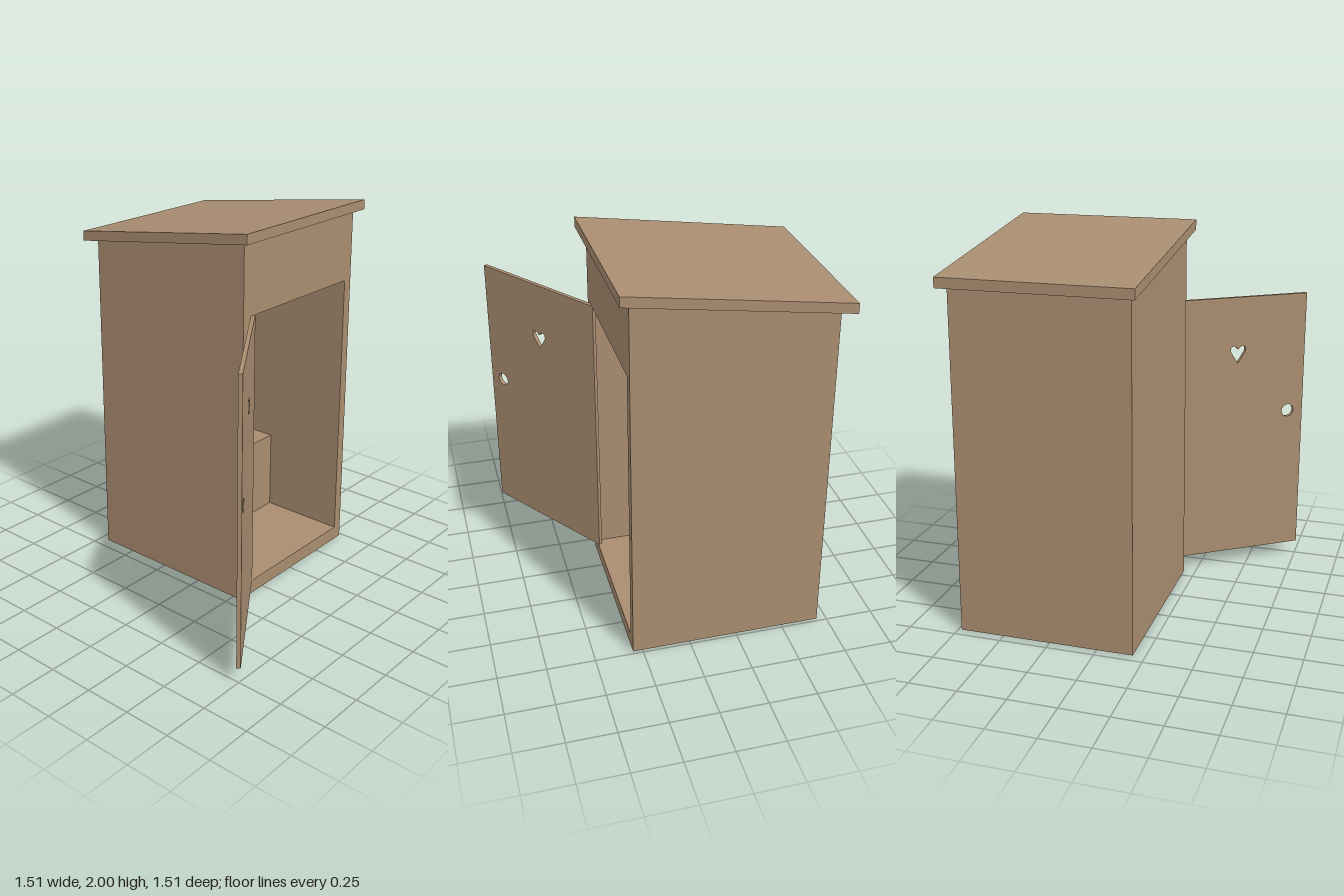
import * as THREE from 'three';

const LEFT = -0.187, RIGHT = 0.733, FRONT = 0.3, BACK = -0.7, WALL = 0.053;
const MID = (LEFT + RIGHT) / 2, FRAME = 0.02;
const SLOPE = 0.145, ROOF = 0.052;
const DOOR_LOW = 0.075, DOOR_HIGH = 1.57;

const roofTop = (z) => 2 - (0.348 - z) * SLOPE;

// Lets the walls end under the sloping roof and lean in slightly with height.
function lean(geometry) {
  const p = geometry.attributes.position;
  for (let i = 0; i < p.count; i++) {
    const x = p.getX(i), z = p.getZ(i);
    const y = p.getY(i) > 1.7 ? roofTop(z) - ROOF : p.getY(i);
    p.setXYZ(i, MID + (x - MID) * (1 - 0.009 * y), y, FRONT - (FRONT - z) * (1 - 0.007 * y));
  }
  geometry.computeVertexNormals();
  return geometry;
}

const polygon = (points) => new THREE.Shape(points.map(([x, y]) => new THREE.Vector2(x, y)));
const rectangle = (x0, y0, x1, y1) => polygon([[x0, y0], [x1, y0], [x1, y1], [x0, y1]]);

function extrude(shape, depth, curveSegments = 6) {
  return new THREE.ExtrudeGeometry(shape, { depth, curveSegments, bevelEnabled: false });
}

// Raises a floor plan, drawn with -z as its second axis, from y0 to y1.
function raise(plan, y0, y1) {
  return extrude(plan, y1 - y0).rotateX(-Math.PI / 2).translate(0, y0, 0);
}

function roundHole(x, y, r) {
  const path = new THREE.Path();
  path.absarc(x, y, r, 0, Math.PI * 2, true);
  return path;
}

function heartHole(x, y) {
  const path = new THREE.Path();
  path.moveTo(x, y - 0.057);
  path.lineTo(x - 0.04, y + 0.003);
  path.bezierCurveTo(x - 0.056, y + 0.03, x - 0.028, y + 0.062, x, y + 0.02);
  path.bezierCurveTo(x + 0.028, y + 0.062, x + 0.056, y + 0.03, x + 0.04, y + 0.003);
  path.closePath();
  return path;
}

export function createModel() {
  const group = new THREE.Group();
  const wood = new THREE.MeshStandardMaterial({ color: 0xa98d70 });
  wood.name = 'wood';
  const add = (name, geometry) => {
    const mesh = new THREE.Mesh(geometry, wood);
    mesh.name = name;
    group.add(mesh);
    return mesh;
  };
  const inL = LEFT + WALL, inR = RIGHT - WALL, inB = BACK + WALL, f = FRONT - FRAME;

  // Side and back walls as one U-shaped plan
  add('walls', lean(raise(polygon([
    [LEFT, -f], [inL, -f], [inL, -inB], [inR, -inB],
    [inR, -f], [RIGHT, -f], [RIGHT, -BACK], [LEFT, -BACK],
  ]), 0, 1.9)));

  // Front wall with the doorway
  const front = rectangle(LEFT, 0, RIGHT, 1.9);
  front.holes.push(rectangle(inL, DOOR_LOW, inR, DOOR_HIGH));
  add('frontWall', lean(extrude(front, FRAME).translate(0, 0, f)));

  // Floor
  add('floor', lean(raise(rectangle(inL, -f, inR, -inB), 0, DOOR_LOW)));

  // Bench with a round opening
  const bench = rectangle(inL, 0.18, inR, -inB);
  bench.holes.push(roundHole(MID, 0.43, 0.18));
  add('seat', lean(raise(bench, DOOR_LOW, 0.527)));

  // Sloping roof with vertical edges
  const roof = new THREE.BoxGeometry(0.974, ROOF, 1.105).translate(0.27, -ROOF / 2, -0.205);
  const p = roof.attributes.position;
  for (let i = 0; i < p.count; i++) p.setY(i, p.getY(i) + roofTop(p.getZ(i)));
  roof.computeVertexNormals();
  add('roof', roof);

  // Open door with a heart window and a finger hole
  const panel = rectangle(0, 0.08, 0.805, 1.568);
  panel.holes.push(heartHole(0.403, 1.256), roundHole(0.09, 0.897, 0.036));
  const door = add('door', extrude(panel, 0.021, 8));
  door.position.set(-0.757, 0, 0.74);
  door.rotation.y = 0.609;

  return group;
}
